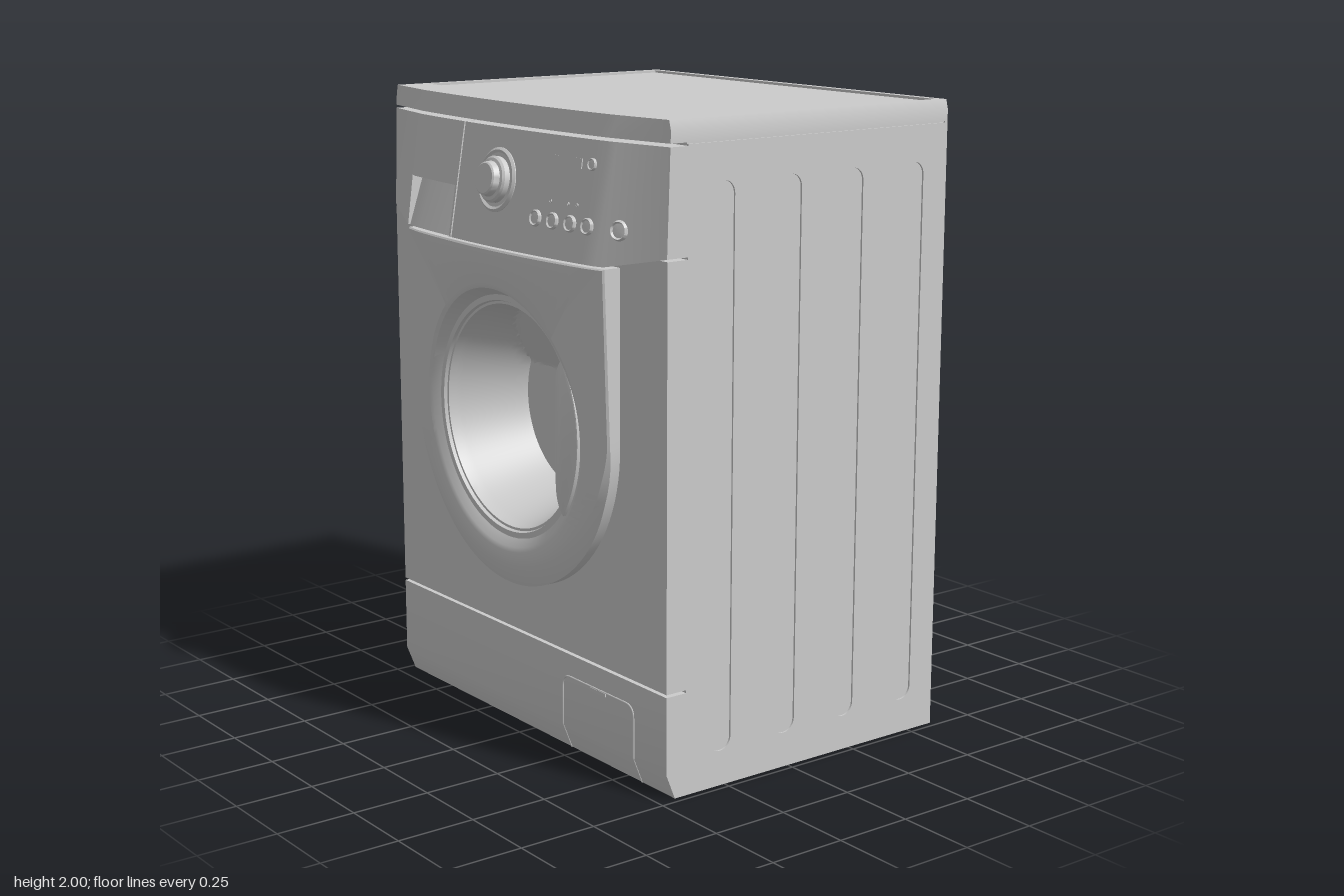
import * as THREE from 'three';
import { toCreasedNormals } from 'three/addons/utils/BufferGeometryUtils.js';

const W = 0.73, BACK = -0.6, MID = 0.4, DOOR_Y = 1.035, DOOR_R = 0.53;

export function createModel() {
  const model = new THREE.Group();
  const mat = new THREE.MeshStandardMaterial({ color: 0xcccccc });

  const add = (name, geo, x = 0, y = 0, z = 0) => {
    const mesh = new THREE.Mesh(geo, mat);
    mesh.name = name;
    mesh.position.set(x, y, z);
    model.add(mesh);
    return mesh;
  };
  const box = (name, x0, x1, y0, y1, z0, z1) => add(name,
    new THREE.BoxGeometry(x1 - x0, y1 - y0, z1 - z0), (x0 + x1) / 2, (y0 + y1) / 2, (z0 + z1) / 2);

  // Skin over rows of closed cross-sections, optionally capped
  const skin = (rows, caps, crease = 0.5) => {
    const pos = [], n = rows[0].length, tri = (...p) => p.forEach(v => pos.push(...v));
    for (let i = 0; i < rows.length - 1; i++) for (let j = 0; j < n; j++) {
      const k = (j + 1) % n, A = rows[i], B = rows[i + 1];
      tri(A[j], A[k], B[j]);
      tri(A[k], B[k], B[j]);
    }
    if (caps) for (let j = 1; j < n - 1; j++) {
      const A = rows[0], B = rows[rows.length - 1];
      tri(A[0], A[j + 1], A[j]);
      tri(B[0], B[j], B[j + 1]);
    }
    const g = new THREE.BufferGeometry();
    g.setAttribute('position', new THREE.Float32BufferAttribute(pos, 3));
    return toCreasedNormals(g, crease);
  };

  // Bowed, backward-leaning front surface of the control panel and lid
  const front = (x, y) => {
    const a = Math.abs(x), s = Math.min(a / 0.5, 1) ** 2, e = Math.max(0, a - 0.5) / 0.23;
    const low = 0.59 - 0.03 * s - 0.085 * e, high = 0.515 - 0.02 * s - 0.035 * e;
    return THREE.MathUtils.lerp(low, high, (y - 1.57) / 0.43);
  };
  // Slab between x0 and x1 from zBack to the bowed front
  const bowed = (name, x0, x1, zBack, yLow, yHigh, inset = () => 0) => {
    const xs = [x0, x1, -0.722, -0.53, -0.5, 0.5, 0.53, 0.722];
    for (let i = -9; i < 10; i++) xs.push(i * 0.05);
    const cols = [...new Set(xs)].filter(x => x >= x0 && x <= x1).sort((a, b) => a - b);
    return add(name, skin(cols.map(x => {
      const t = yHigh(x), b = yLow(x);
      return [[x, t, zBack], [x, t, front(x, t) - inset(t)], [x, b, front(x, b) - inset(b)], [x, b, zBack]];
    }), true, 0.3));
  };

  // Cabinet with a round cavity for the door bowl
  const rect = (x0, y0, x1, y1) => new THREE.Shape(
    [[x0, y0], [x1, y0], [x1, y1], [x0, y1]].map(p => new THREE.Vector2(...p)));
  const slab = (name, shape, z0, z1) => add(name, new THREE.ExtrudeGeometry(shape,
    { depth: z1 - z0, bevelEnabled: false, curveSegments: 48 }), 0, 0, z0);
  const cavity = () => new THREE.Path().absarc(0, DOOR_Y, 0.39, 0, Math.PI * 2, true);
  const cabinet = rect(-0.724, 0, 0.724, 1.94);
  cabinet.holes.push(cavity());
  slab('cabinet', cabinet, -0.59, MID);
  box('backPanel', -W, W, 0, 1.94, BACK, -0.59);
  const frontShape = rect(-W, 0.329, W, 1.605);
  frontShape.holes.push(cavity());
  slab('frontPanel', frontShape, MID, 0.472);

  // Side panels with four long pressed grooves
  for (const side of [-1, 1]) {
    const s = rect(-MID, 0, 0.59, 1.93);
    for (const z of [0.27, 0.02, -0.22, -0.465]) {
      const h = new THREE.Path();
      h.absarc(-z, 1.78, 0.04, 0, Math.PI, false);
      h.absarc(-z, 0.15, 0.04, Math.PI, Math.PI * 2, false);
      s.holes.push(h);
    }
    const g = new THREE.ExtrudeGeometry(s, { depth: 0.006, bevelEnabled: false });
    g.rotateY(Math.PI / 2);
    add('sidePanel', g, side > 0 ? 0.724 : -W);
  }

  // Kick panel with sloped foot
  add('kickPanel', skin([-W, W].map(x => [[x, 0.32, MID], [x, 0.32, 0.472], [x, 0.08, 0.472],
    [x, 0, 0.44], [x, 0, MID]]), true));

  // Filter flap outline and finger notch
  const L = 0.205, R = 0.57, flap = new THREE.CurvePath();
  const v = (x, y, z = 0.472) => new THREE.Vector3(x, y, z);
  flap.add(new THREE.LineCurve3(v(L, 0, 0.44), v(L, 0.08)));
  flap.add(new THREE.LineCurve3(v(L, 0.08), v(L, 0.21)));
  flap.add(new THREE.QuadraticBezierCurve3(v(L, 0.21), v(L, 0.248), v(L + 0.04, 0.248)));
  flap.add(new THREE.LineCurve3(v(L + 0.04, 0.248), v(R - 0.04, 0.248)));
  flap.add(new THREE.QuadraticBezierCurve3(v(R - 0.04, 0.248), v(R, 0.248), v(R, 0.21)));
  flap.add(new THREE.LineCurve3(v(R, 0.21), v(R, 0.08)));
  flap.add(new THREE.LineCurve3(v(R, 0.08), v(R, 0, 0.44)));
  add('flapSeam', new THREE.TubeGeometry(flap, 120, 0.003, 6));
  box('flapNotch', 0.35, 0.43, 0.236, 0.246, 0.465, 0.475);

  // Lid: rim around a slightly sunken top
  const lidLow = () => 1.935;
  const lidTop = x => (Math.abs(x) > 0.725 ? 1.97 : 2);
  bowed('lidRimRight', -W, -0.7, BACK, lidLow, lidTop);
  bowed('lidRimLeft', 0.7, W, BACK, lidLow, lidTop);
  bowed('lidRimFront', -0.7, 0.7, 0.36, lidLow, lidTop);
  box('lidRimBack', -0.7, 0.7, 1.935, 2, BACK, -0.575);
  box('lidTop', -0.7, 0.7, 1.935, 1.992, -0.575, 0.36);

  // Control panel with detergent drawer and its grip recess
  const panelLow = x => 1.572 + Math.max(0, Math.abs(x) - 0.53) * 0.2;
  const panelTop = () => 1.925;
  bowed('controlPanelEnd', -W, -0.535, MID, panelLow, panelTop);
  bowed('drawerFront', -0.535, -0.225, MID, () => 1.73, panelTop);
  bowed('drawerGrip', -0.535, -0.235, MID, panelLow, () => 1.73, y => 0.008 + (y - 1.572) * 0.2);
  bowed('drawerEdge', -0.235, -0.225, MID, panelLow, () => 1.73);
  bowed('controlPanel', -0.218, W, MID, panelLow, panelTop);

  // Controls sit square to the bowed panel
  const mount = (name, geo, x, y) => {
    const m = add(name, geo, x, y, front(x, y)), d = 0.01;
    m.lookAt(x - (front(x + d, y) - front(x - d, y)) / (2 * d),
      y - (front(x, y + d) - front(x, y - d)) / (2 * d), front(x, y) + 1);
  };
  const turned = pts => toCreasedNormals(new THREE.LatheGeometry(
    pts.map(p => new THREE.Vector2(...p)), 40).rotateX(Math.PI / 2), 0.5);
  mount('knobRing', turned([[0.098, -0.01], [0.098, 0.002], [0.09, 0.008], [0.082, 0.003], [0.06, 0.002]]), 0, 1.77);
  mount('knob', turned([[0.07, -0.01], [0.07, 0.02], [0.064, 0.026], [0.054, 0.028], [0.05, 0.046],
    [0.045, 0.05], [0, 0.05]]), 0, 1.77);
  const button = (name, x, y, r, h) =>
    mount(name, turned([[r, -0.01], [r, h * 0.5], [r * 0.85, h], [r * 0.7, h * 0.6], [0, h * 0.7]]), x, y);
  for (const x of [0.22, 0.3, 0.38, 0.455]) button('button', x, 1.68, 0.025, 0.01);
  button('powerButton', 0.575, 1.68, 0.03, 0.016);
  button('startButton', 0.445, 1.855, 0.018, 0.008);
  for (const x of [0.28, 0.36, 0.4]) button('indicator', x, 1.735, 0.005, 0.003);
  mount('display', new THREE.BoxGeometry(0.14, 0.03, 0.006), 0.33, 1.853);

  // Door: arch outline, bevelled rim, stepped bezel and glass bowl in one skin
  const face = (x, y) => front(x, 1.57) - 0.035 * (1.57 - y);
  const edge = (c, s) => (s > 0 ? DOOR_R / Math.max(Math.abs(c), s) : DOOR_R);
  const bevel = s => 0.006 + 0.06 * Math.max(0, -s);
  const rings = [
    [() => 0.39, () => 0.49],
    [edge, () => 0.49],
    [edge, (x, y, s) => face(x, y) - 0.004 - 0.02 * Math.max(0, -s)],
    [(c, s) => edge(c, s) - bevel(s), face],
    [() => 0.42, face],
    [() => 0.405, (x, y) => face(x, y) - 0.006],
    [() => 0.38, () => 0.532],
    [() => 0.362, () => 0.532],
    [() => 0.358, () => 0.522],
    [() => 0.35, () => 0.522],
  ];
  // A sloped plane cuts the top of the bowl
  const bowl = (r, z) => rings.push([() => r, (x, y) => Math.max(z, Math.min(0.5, 0.27 + (y - 1.14) * 0.75))]);
  for (let i = 0; i <= 12; i++) bowl(0.345 - 0.075 * i / 12, 0.5 - 0.23 * i / 12);
  for (let i = 1; i <= 16; i++) bowl(0.27 * (1 - i / 16), 0.27);
  const N = 96;
  add('door', skin(rings.map(([rad, depth]) => Array.from({ length: N }, (_, j) => {
    const t = j / N * Math.PI * 2, c = Math.cos(t), s = Math.sin(t), r = rad(c, s);
    const x = r * c, y = DOOR_Y + r * s;
    return [x, y, depth(x, y, s)];
  })), false, 0.4));

  // Seal between door and cabinet
  const seal = turned([[0.36, 0], [0.4, 0], [0.4, 0.035], [0.36, 0.035]]);
  add('doorSeal', seal, 0, DOOR_Y, 0.46);

  // Crescent door handle on the bezel
  const a = 0.63, grip = new THREE.Shape();
  grip.absarc(0, 0, 0.408, -a, a, false);
  grip.quadraticCurveTo(0.295, 0.21, 0.293, 0.15);
  grip.lineTo(0.293, -0.15);
  grip.quadraticCurveTo(0.295, -0.21, 0.408 * Math.cos(a), -0.408 * Math.sin(a));
  add('doorHandle', toCreasedNormals(new THREE.ExtrudeGeometry(grip, { depth: 0.04, bevelThickness: 0.005,
    bevelSize: 0.004, bevelOffset: -0.004, bevelSegments: 2, curveSegments: 24 }), 0.6), 0, DOOR_Y, 0.512);

  return model;
}
